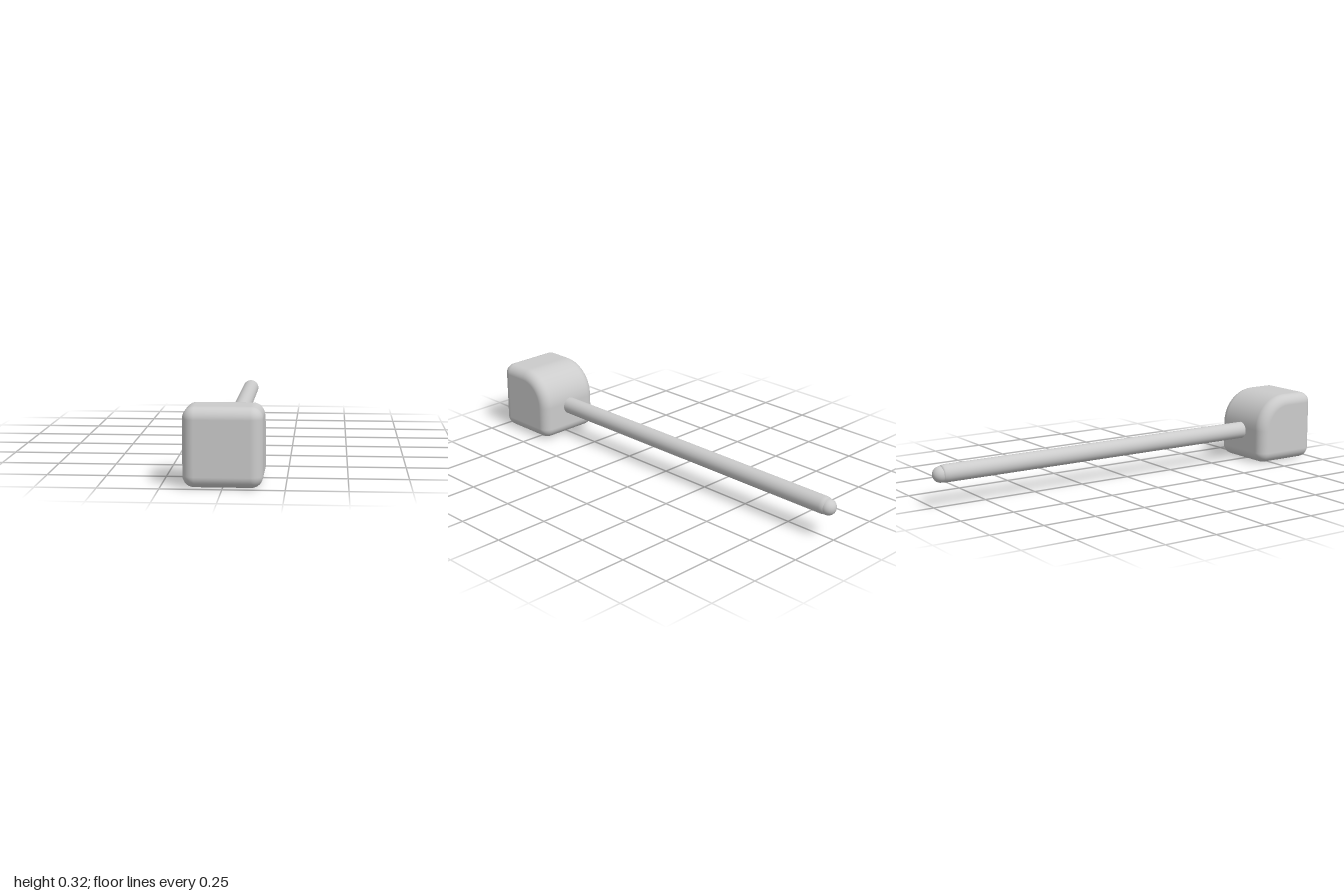
import * as THREE from 'three';

const material = new THREE.MeshStandardMaterial({ color: 0xcccccc });

// Block swept along x: rounded side profile with a large back-top curve, edges rounded by r
function headGeometry(halfWidth, y0, y1, z0, z1, r, backTop) {
  const steps = 10;
  const corners = [ // [z, y, corner radius, start angle]
    [z1, y1, r, 0],
    [z0, y1, backTop, 1],
    [z0, y0, r, 2],
    [z1, y0, r, 3],
  ];
  const profile = [];
  for (const [z, y, radius, quarter] of corners) {
    const cz = z === z1 ? z - radius : z + radius;
    const cy = y === y1 ? y - radius : y + radius;
    for (let i = 0; i <= steps; i++) {
      const a = (quarter + i / steps) * Math.PI / 2;
      const nz = Math.cos(a), ny = Math.sin(a);
      profile.push({ z: cz + nz * (radius - r), y: cy + ny * (radius - r), nz, ny });
    }
  }

  const n = profile.length;
  const positions = [], normals = [], index = [];
  const addCentre = (side) => profile.forEach(() => {
    positions.push(side * halfWidth, (y0 + y1) / 2, (z0 + z1) / 2);
    normals.push(side, 0, 0);
  });

  addCentre(-1);
  for (const side of [-1, 1]) {
    for (let j = 0; j <= steps; j++) {
      const t = (j / steps - (side < 0 ? 1 : 0)) * Math.PI / 2;
      const c = Math.cos(t), s = Math.sin(t);
      for (const p of profile) {
        positions.push(side * (halfWidth - r) + r * s, p.y + p.ny * r * c, p.z + p.nz * r * c);
        normals.push(s, p.ny * c, p.nz * c);
      }
    }
  }
  addCentre(1);

  const rows = positions.length / 3 / n;
  for (let j = 0; j < rows - 1; j++) {
    for (let i = 0; i < n; i++) {
      const k = (i + 1) % n;
      const a = j * n + i, b = a + n, c = j * n + k, d = c + n;
      index.push(a, b, c, b, d, c);
    }
  }
  const geometry = new THREE.BufferGeometry();
  geometry.setAttribute('position', new THREE.Float32BufferAttribute(positions, 3));
  geometry.setAttribute('normal', new THREE.Float32BufferAttribute(normals, 3));
  geometry.setIndex(index);
  return geometry;
}

export function createModel() {
  const model = new THREE.Group();
  model.name = 'mallet';
  const add = (name, geometry) => {
    const mesh = new THREE.Mesh(geometry, material);
    mesh.name = name;
    model.add(mesh);
    return mesh;
  };

  // Rounded block head
  add('head', headGeometry(0.161, 0, 0.325, 0.678, 1, 0.048, 0.165));

  // Round shaft with a softened end, running backwards from the head
  const shaftProfile = [[0.04, -0.72], [0.04, 0.94], [0.038, 0.955], [0.033, 0.966], [0, 0.968]]
    .map(([x, y]) => new THREE.Vector2(x, y));
  const shaft = add('shaft', new THREE.LatheGeometry(shaftProfile, 32));
  shaft.rotation.x = -Math.PI / 2;
  shaft.position.y = 0.145;

  // Ball at the end of the shaft
  const ball = add('endBall', new THREE.SphereGeometry(0.036, 24, 16));
  ball.position.set(0, 0.143, -0.964);

  return model;
}
